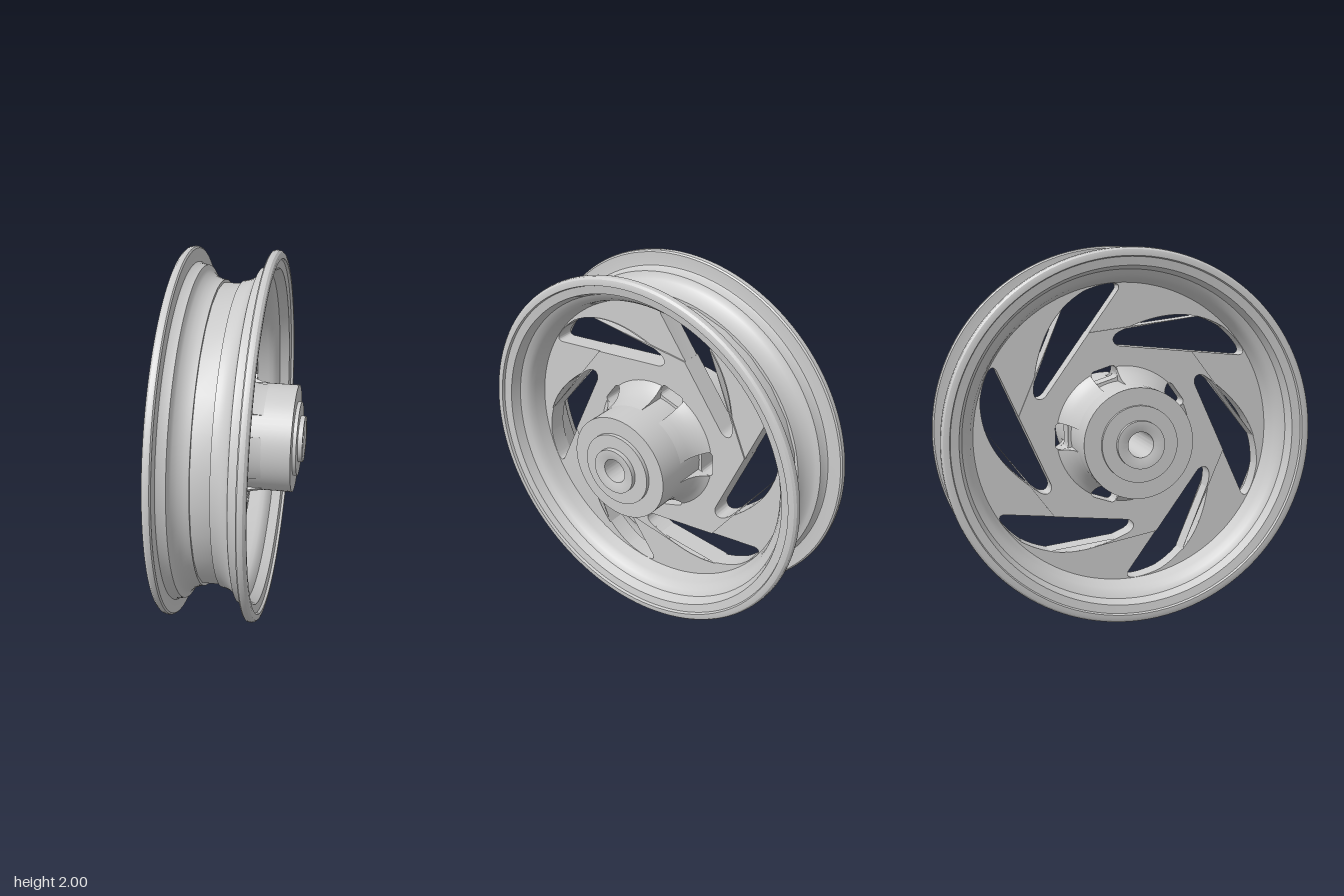
import * as THREE from 'three';
import { toCreasedNormals } from 'three/addons/utils/BufferGeometryUtils.js';

const SPOKES = 6, SLOTS = 5;
const material = new THREE.MeshStandardMaterial({ color: 0xcccccc, side: THREE.DoubleSide });

// Rotates a 2D point about the axle
function spin(x, y, a) {
  return [x * Math.cos(a) - y * Math.sin(a), x * Math.sin(a) + y * Math.cos(a)];
}

// Path whose flat list of x, y pairs is turned by an angle
function draw(path, a, method, ...pts) {
  const out = [];
  for (let i = 0; i < pts.length; i += 2) out.push(...spin(pts[i], pts[i + 1], a));
  path[method](...out);
}

function mesh(geometry, name, crease = 0.45) {
  const m = new THREE.Mesh(toCreasedNormals(geometry, crease), material);
  m.name = name;
  return m;
}

// Profile of [axial, radius] pairs revolved about the x axis
function revolve(profile, segments, start = 0, length = Math.PI * 2) {
  const pts = profile.map(([x, r]) => new THREE.Vector2(r, x));
  return new THREE.LatheGeometry(pts, segments, start, length).rotateZ(-Math.PI / 2);
}

// Plate centred on x = 0, lying across the axle
function plate(shape, thickness) {
  return new THREE.ExtrudeGeometry(shape, { depth: thickness, bevelEnabled: false, curveSegments: 14 })
    .translate(0, 0, -thickness / 2).rotateY(Math.PI / 2);
}

// Hub bore and the rounded slots around it
function addHubHoles(shape) {
  shape.holes.push(new THREE.Path().absarc(0, 0, 0.2, 0, Math.PI * 2, true));
  for (let k = 0; k < SLOTS; k++) {
    const a = k * Math.PI * 2 / SLOTS, p = new THREE.Path();
    const r0 = 0.305, r1 = 0.375, h = 0.07, c = 0.025;
    draw(p, a, 'moveTo', r0 + c, -h);
    draw(p, a, 'lineTo', r1 - c, -h);
    draw(p, a, 'quadraticCurveTo', r1, -h, r1, -h + c);
    draw(p, a, 'lineTo', r1, h - c);
    draw(p, a, 'quadraticCurveTo', r1, h, r1 - c, h);
    draw(p, a, 'lineTo', r0 + c, h);
    draw(p, a, 'quadraticCurveTo', r0, h, r0, h - c);
    draw(p, a, 'lineTo', r0, -h + c);
    draw(p, a, 'quadraticCurveTo', r0, -h, r0 + c, -h);
    shape.holes.push(p);
  }
}

// Disc with swept openings between the spokes
function spokeDisc() {
  const s = new THREE.Shape().absarc(0, 0, 0.818, 0, Math.PI * 2, false);
  for (let k = 0; k < SPOKES; k++) {
    const a = -k * Math.PI * 2 / SPOKES, p = new THREE.Path();
    draw(p, a, 'moveTo', 0.03, 0.77);
    draw(p, a, 'lineTo', 0.415, 0.23);
    draw(p, a, 'bezierCurveTo', 0.44, 0.19, 0.49, 0.19, 0.49, 0.25);
    draw(p, a, 'bezierCurveTo', 0.47, 0.52, 0.37, 0.68, 0.21, 0.77);
    draw(p, a, 'bezierCurveTo', 0.16, 0.79, 0.11, 0.805, 0.06, 0.808);
    draw(p, a, 'quadraticCurveTo', 0.01, 0.808, 0.03, 0.77);
    s.holes.push(p);
  }
  addHubHoles(s);
  return plate(s, 0.1);
}

// Slightly thicker star that forms the inner part of the spokes
function spokeStar() {
  const s = new THREE.Shape();
  for (let k = 0; k < SPOKES; k++) {
    const a = -k * Math.PI * 2 / SPOKES;
    draw(s, a, k ? 'lineTo' : 'moveTo', 0.187, 0.55);
    draw(s, a, 'lineTo', 0.415, 0.23);
    draw(s, a, 'bezierCurveTo', 0.44, 0.19, 0.49, 0.19, 0.49, 0.25);
    draw(s, a, 'bezierCurveTo', 0.476, 0.439, 0.423, 0.574, 0.337, 0.669);
  }
  s.closePath();
  addHubHoles(s);
  return plate(s, 0.116);
}

// Flared hub root, interrupted by the slots
function hubFlare() {
  const g = new THREE.Group();
  g.name = 'hubFlare';
  const curve = [[0.05, 0.38], [0.07, 0.352], [0.09, 0.334], [0.12, 0.315], [0.16, 0.3], [0.22, 0.29]];
  const section = new THREE.Shape(
    [...curve, [0.22, 0.28], [0.05, 0.28]].map(([x, r]) => new THREE.Vector2(r, x)));
  const step = Math.PI * 2 / SLOTS, half = 0.205;
  for (let k = 0; k < SLOTS; k++) {
    const start = Math.PI + k * step + half, length = step - 2 * half;
    g.add(mesh(revolve(curve, 18, start, length), 'flareSegment', 0.8));
    for (const phi of [start, start + length]) {
      const cap = new THREE.ShapeGeometry(section).rotateY(phi - Math.PI / 2).rotateZ(-Math.PI / 2);
      g.add(mesh(cap, 'slotWall'));
    }
  }
  return g;
}

export function createModel() {
  const wheel = new THREE.Group();
  wheel.name = 'wheel';
  wheel.position.y = 1;

  wheel.add(mesh(spokeDisc(), 'spokeDisc'), mesh(spokeStar(), 'spokeStar'));

  // Hub barrel with stepped ends and a through bore
  const end = [[0.375, 0.29], [0.375, 0.2], [0.395, 0.2], [0.395, 0.125], [0.42, 0.125], [0.42, 0.1], [0.41, 0.067]];
  const left = end.map(([x, r]) => [-x, r]).reverse();
  wheel.add(mesh(revolve([...left, ...end, left[0]], 64), 'hub'));

  // Rim half: outer channel, rounded flange lip, then the inner face
  const rim = [
    [0.05, 0.812], [0.05, 0.83], [0.075, 0.834], [0.105, 0.846], [0.13, 0.866], [0.14, 0.88], [0.148, 0.903],
    [0.19, 0.912], [0.198, 0.918], [0.2, 0.93], [0.2, 0.99], [0.207, 0.998], [0.218, 1], [0.235, 0.997],
    [0.246, 0.987], [0.25, 0.973], [0.25, 0.955], [0.235, 0.95], [0.228, 0.905], [0.175, 0.885],
    [0.158, 0.855], [0.135, 0.838], [0.11, 0.83], [0.05, 0.812],
  ];
  for (const side of [0, 1]) {
    const half = new THREE.Group();
    half.name = side ? 'rightHalf' : 'leftHalf';
    half.rotation.z = side * Math.PI;
    half.add(mesh(revolve(rim, 128), 'rim'), hubFlare());
    wheel.add(half);
  }

  const model = new THREE.Group();
  model.name = 'model';
  model.add(wheel);
  return model;
}
